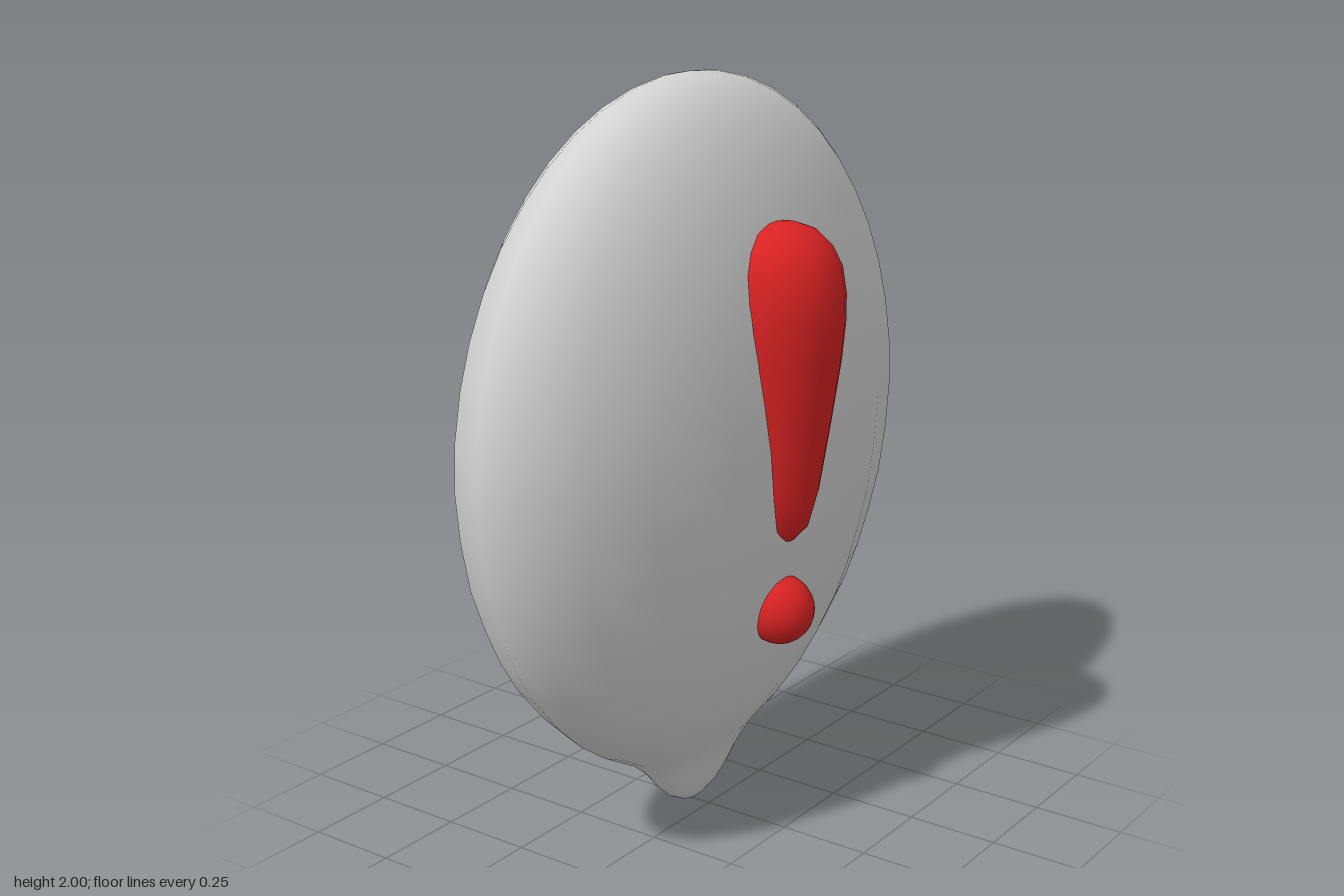
import * as THREE from 'three';

const pale = new THREE.MeshStandardMaterial({ color: 0xd2d2d2 });
pale.name = 'pale grey';
const red = new THREE.MeshStandardMaterial({ color: 0xd82222 });
red.name = 'signal red';

// Revolved part from [radius, height] pairs, bottom to top
function turned(name, profile, sides, material, z, depth = 1) {
  const points = profile.map(([r, y]) => new THREE.Vector2(r, y));
  const geometry = new THREE.LatheGeometry(points, sides);
  geometry.scale(1, 1, depth);
  const mesh = new THREE.Mesh(geometry, material);
  mesh.name = name;
  mesh.position.z = z;
  return mesh;
}

export function createModel() {
  const group = new THREE.Group();
  group.name = 'alertMarker';

  // Flattened balloon: blunt tip, flared neck, then an elliptical dome
  const body = [
    [0, 0.005], [0.05, 0.022], [0.105, 0.052], [0.15, 0.093], [0.185, 0.135], [0.222, 0.17],
    [0.265, 0.203], [0.386, 0.272], [0.483, 0.342], [0.572, 0.426],
    [0.66, 0.53], [0.716, 0.62], [0.762, 0.717], [0.805, 0.83], [0.832, 0.96],
  ];
  const domeSteps = 12;
  for (let i = 0; i <= domeSteps; i++) {
    const a = (i / domeSteps) * Math.PI / 2;
    body.push([i === domeSteps ? 0 : 0.845 * Math.cos(a), 1.09 + 0.91 * Math.sin(a)]);
  }
  group.add(turned('balloon', body, 20, pale, -0.055, 0.393));

  // Tapered stroke of the exclamation mark
  const stroke = [
    [0, 0.815], [0.04, 0.827], [0.075, 0.866], [0.1, 0.96], [0.127, 1.13],
    [0.152, 1.3], [0.161, 1.4], [0.161, 1.47], [0.15, 1.54],
    [0.125, 1.59], [0.085, 1.63], [0.04, 1.647], [0, 1.652],
  ];
  group.add(turned('markStroke', stroke, 20, red, 0.225));

  // Round dot below the stroke
  const dot = new THREE.Mesh(new THREE.SphereGeometry(0.092, 20, 14), red);
  dot.name = 'markDot';
  dot.position.set(0, 0.63, 0.228);
  group.add(dot);

  return group;
}
